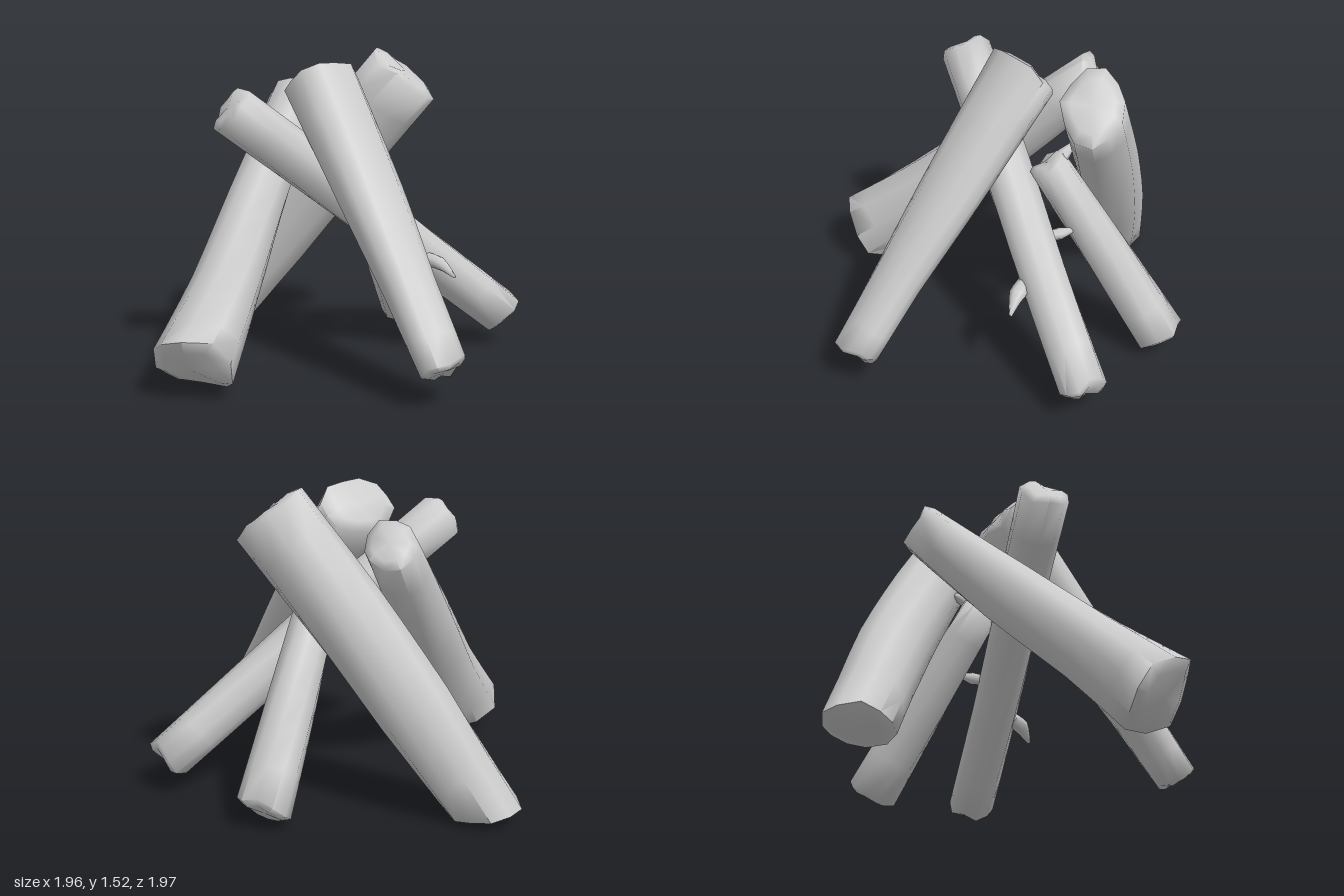
import * as THREE from 'three';
import { toCreasedNormals } from 'three/addons/utils/BufferGeometryUtils.js';

const material = new THREE.MeshStandardMaterial({ color: 0xcccccc, side: THREE.DoubleSide });

function seeded(seed) {
  let s = seed;
  return () => (s = (s * 16807) % 2147483647) / 2147483647;
}

// Lofted wood. Stations run from bottom to top: [x, y, z, half width, half depth].
// footCut and topCut slant the ends along the log's upper side.
function wood(name, stations, { seed = 1, sides = 10, lump = 0.07, twist = 0.5, jag = 0.025, footCut = 0, topCut = 0, bevel = 0.02 } = {}) {
  const rand = seeded(seed * 7919);
  const path = new THREE.CatmullRomCurve3(stations.map(s => new THREE.Vector3(...s)));
  const steps = (stations.length - 1) * 3;
  const lumps = Array.from({ length: sides }, () => 1 + lump * (rand() * 2 - 1));
  const low = path.getPoint(0), high = path.getPoint(1);
  const axis = new THREE.Vector3().subVectors(high, low).normalize();
  const u = new THREE.Vector3(0, 1, 0).cross(axis).normalize();
  const v = new THREE.Vector3().crossVectors(axis, u);

  const rings = [];
  for (let i = 0; i <= steps; i++) {
    const t = i / steps, f = t * (stations.length - 1);
    const k = Math.min(Math.floor(f), stations.length - 2);
    const [ru, rv] = [3, 4].map(c => THREE.MathUtils.lerp(stations[k][c], stations[k + 1][c], f - k));
    const centre = path.getPoint(t);
    const cut = i === 0 ? -footCut : i === steps ? topCut : 0;
    const ragged = i === 0 || i === steps ? jag : 0;
    rings.push(lumps.map((m, j) => {
      const a = (j / sides) * Math.PI * 2 + twist * (t - 0.5);
      const up = Math.sin(a) * rv * m;
      return centre.clone().addScaledVector(u, Math.cos(a) * ru * m).addScaledVector(v, up)
        .addScaledVector(axis, cut * up + ragged * (rand() * 2 - 1));
    }));
  }
  // Rounded shoulder inside each ragged rim
  const shoulder = (ring, centre, out) => ring.map(p => p.clone().lerp(centre, 0.3).addScaledVector(axis, out));
  rings.unshift(shoulder(rings[0], low, -bevel));
  rings.push(shoulder(rings[steps + 1], high, bevel));

  const pos = [];
  const tri = (...points) => points.forEach(p => pos.push(p.x, p.y, p.z));
  const last = rings.length - 1;
  const foot = low.clone().addScaledVector(axis, -bevel), top = high.clone().addScaledVector(axis, bevel);
  for (let j = 0; j < sides; j++) {
    const n = (j + 1) % sides;
    for (let i = 0; i < last; i++) {
      tri(rings[i][j], rings[i][n], rings[i + 1][n]);
      tri(rings[i][j], rings[i + 1][n], rings[i + 1][j]);
    }
    tri(foot, rings[0][n], rings[0][j]);
    tri(top, rings[last][j], rings[last][n]);
  }
  const geometry = new THREE.BufferGeometry();
  geometry.setAttribute('position', new THREE.Float32BufferAttribute(pos, 3));
  const mesh = new THREE.Mesh(toCreasedNormals(geometry, Math.PI * 0.42), material);
  mesh.name = name;
  return mesh;
}

export function createModel() {
  const group = new THREE.Group();
  group.name = 'campfireLogs';

  group.add(
    // Front log, flaring towards its slanted top
    wood('frontLog', [
      [0.24, 0.22, 0.88, 0.12, 0.09],
      [0.17, 0.53, 0.63, 0.13, 0.1],
      [0.09, 0.9, 0.32, 0.165, 0.115],
      [-0.03, 1.4, -0.11, 0.19, 0.14],
    ], { seed: 3, sides: 12, twist: 0.4, topCut: 0.3 }),
    // Log leaning in from the front corner, wide at its foot
    wood('cornerLog', [
      [-0.81, 0.19, 0.43, 0.215, 0.205],
      [-0.6, 0.48, 0.19, 0.175, 0.175],
      [-0.36, 0.83, -0.13, 0.15, 0.165],
      [-0.05, 1.29, -0.5, 0.13, 0.13],
    ], { seed: 11, sides: 10, twist: 0.5, jag: 0.04 }),
    // Slim log lying across the others
    wood('crossLog', [
      [0.91, 0.2, -0.01, 0.115, 0.115],
      [0.45, 0.56, 0, 0.115, 0.12],
      [0, 0.92, 0, 0.12, 0.125],
      [-0.51, 1.31, 0, 0.125, 0.125],
    ], { seed: 5, sides: 10 }),
    // Thick rear log, bowed slightly outwards
    wood('rearLog', [
      [-0.4, 0.08, -0.83, 0.165, 0.155],
      [-0.11, 0.55, -0.66, 0.17, 0.185],
      [0.16, 0.98, -0.47, 0.165, 0.19],
      [0.45, 1.42, -0.25, 0.15, 0.19],
    ], { seed: 17, sides: 11, footCut: 0.45 }),
    // Short prop log at the back
    wood('propLog', [
      [0.59, 0.12, -0.59, 0.13, 0.125],
      [0.38, 0.56, -0.37, 0.115, 0.12],
      [0.18, 0.99, -0.15, 0.1, 0.1],
    ], { seed: 23, sides: 10 }),
  );

  // Small broken twigs: start, elbow and tip of each
  const twigs = [
    [[0.44, 0.53, 0.08, 0.04, 0.04], [0.5, 0.52, 0.15, 0.04, 0.035], [0.56, 0.46, 0.21, 0.01, 0.01]],
    [[0.19, 0.98, -0.15, 0.035, 0.035], [0.2, 1.04, -0.22, 0.035, 0.03], [0.15, 1.05, -0.29, 0.015, 0.015]],
    [[0.32, 0.68, -0.08, 0.025, 0.025], [0.34, 0.69, -0.15, 0.03, 0.03], [0.35, 0.7, -0.2, 0.015, 0.015]],
  ];
  twigs.forEach((points, i) => group.add(wood('twig' + (i + 1), points, { seed: 31 + i, sides: 7, jag: 0.004, bevel: 0.004 })));
  return group;
}
